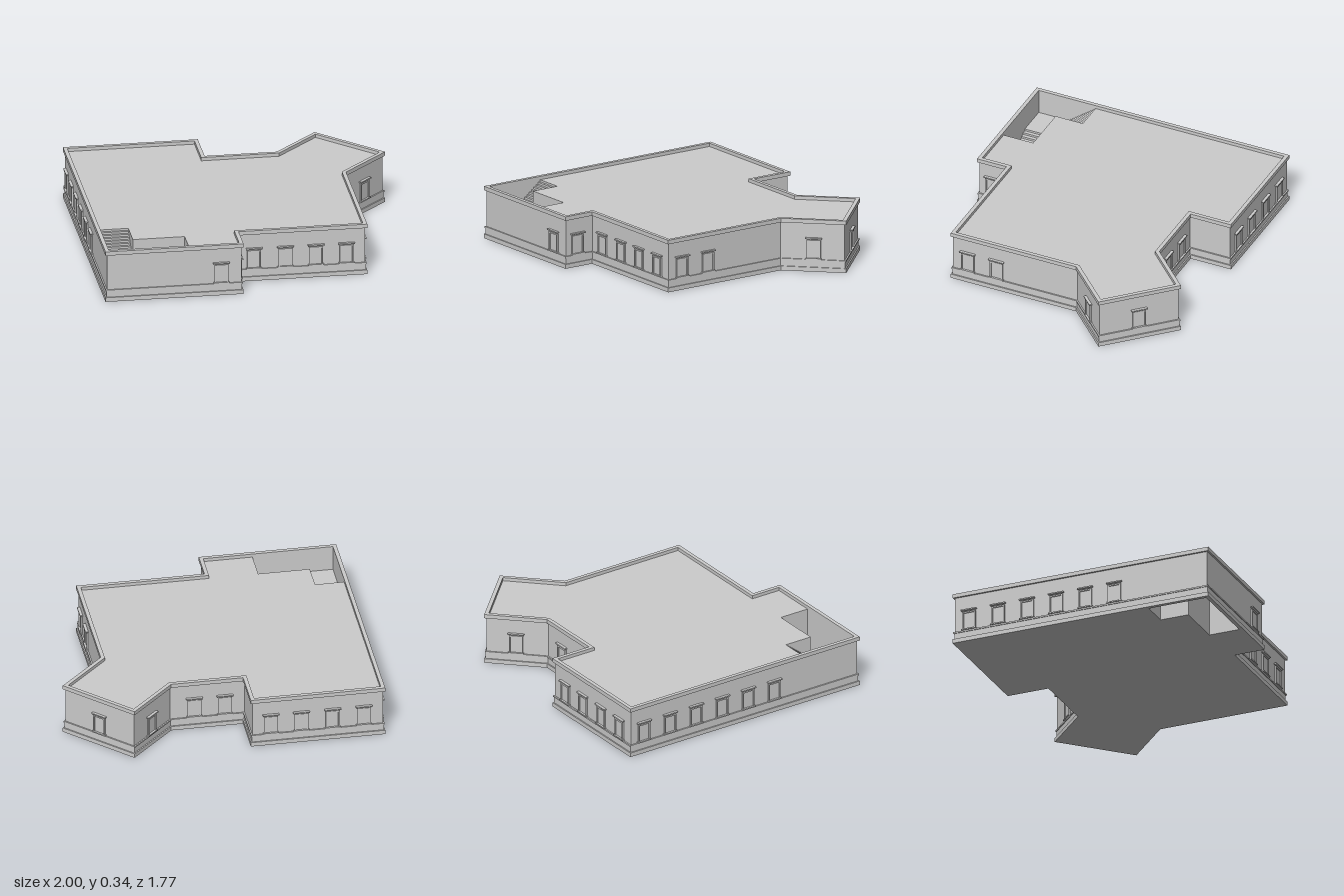
import * as THREE from 'three';

const wallMat = new THREE.MeshStandardMaterial({ color: 0xcccccc });
wallMat.name = 'light grey';

// Footprint corners (x, z), counterclockwise seen from above
const outline = [
  [-1, 0.88], [-0.12, 0.88], [-0.12, 0.675], [0.7, 0.675], [0.7, -0.2], [0.995, -0.495],
  [0.605, -0.885], [0.32, -0.6], [-0.14, -0.6], [-0.14, -0.88], [-1, -0.88],
].map(([x, z]) => new THREE.Vector2(x, -z));

// L-shaped stairwell
const stairwell = [
  [-0.975, 0.855], [-0.46, 0.855], [-0.46, 0.65], [-0.79, 0.65], [-0.79, 0.46], [-0.975, 0.46],
].map(([x, z]) => new THREE.Vector2(x, -z));

// Moves every side of a polygon inward by d
function inset(points, d) {
  const n = points.length;
  return points.map((p, i) => {
    const a = p.clone().sub(points[(i + n - 1) % n]).normalize();
    const b = points[(i + 1) % n].clone().sub(p).normalize();
    const na = new THREE.Vector2(-a.y, a.x), nb = new THREE.Vector2(-b.y, b.x);
    return na.clone().add(nb).multiplyScalar(d / (1 + na.dot(nb))).add(p);
  });
}

// Upright prism over a plan, with an optional hole
function slab(name, points, y0, y1, hole) {
  const shape = new THREE.Shape(points);
  if (hole) shape.holes.push(new THREE.Path(hole));
  const geo = new THREE.ExtrudeGeometry(shape, { depth: y1 - y0, bevelEnabled: false });
  geo.rotateX(-Math.PI / 2).translate(0, y0, 0);
  const mesh = new THREE.Mesh(geo, wallMat);
  mesh.name = name;
  return mesh;
}

function box(name, w, h, d, y, z) {
  const mesh = new THREE.Mesh(new THREE.BoxGeometry(w, h, d), wallMat);
  mesh.name = name;
  mesh.position.set(0, y, z);
  return mesh;
}

// Window facing +z with its wall at z = 0
function createWindow() {
  const win = new THREE.Group();
  win.name = 'window';
  for (const s of [-1, 1]) win.add(box('windowJamb', 0.009, 0.12, 0.01, 0.142, 0.005).translateX(s * 0.04));
  win.add(box('windowHead', 0.089, 0.009, 0.01, 0.2, 0.005));
  win.add(box('windowPane', 0.071, 0.115, 0.004, 0.14, 0.001));
  win.add(box('windowLintel', 0.105, 0.008, 0.018, 0.216, 0.009));
  win.add(box('windowSill', 0.1, 0.008, 0.016, 0.083, 0.008));
  return win;
}

// One flight descending along +z
function createFlight(name, width, steps, run, rise) {
  const flight = new THREE.Group();
  flight.name = name;
  const tread = new THREE.PlaneGeometry(width, run).rotateX(-Math.PI / 2);
  const riser = new THREE.PlaneGeometry(width, rise);
  for (let i = 0; i < steps; i++) {
    const r = new THREE.Mesh(riser, wallMat);
    r.name = 'riser';
    r.position.set(0, -(i + 0.5) * rise, i * run);
    const t = new THREE.Mesh(tread, wallMat);
    t.name = 'tread';
    t.position.set(0, -(i + 1) * rise, (i + 0.5) * run);
    flight.add(r, t);
  }
  return flight;
}

export function createModel() {
  const model = new THREE.Group();
  model.name = 'building';
  const roofY = 0.318, inn = 0.012;
  const wall = inset(outline, inn);

  // Body, mouldings and parapet
  model.add(slab('body', wall, 0, roofY, stairwell));
  model.add(slab('baseMoulding', outline, 0, 0.028, wall));
  model.add(slab('plinth', inset(outline, 0.008), 0.028, 0.068, wall));
  model.add(slab('sillLedge', inset(outline, 0.003), 0.068, 0.078, wall));
  model.add(slab('parapet', outline, 0.314, 0.34, inset(outline, 0.025)));

  // Windows: wall direction angle, then [x, z] on the moulding line
  const Q = Math.PI / 4;
  const rows = [
    [0, [[-0.26, 0.88], [-0.02, 0.675], [0.18, 0.675], [0.375, 0.675], [0.57, 0.675]]],
    [2 * Q, [[-0.12, 0.78], [0.7, 0.56], [0.7, 0.36]]],
    [Q, [[0.8475, -0.3475]]],
    [3 * Q, [[0.8, -0.69]]],
    [5 * Q, [[0.4625, -0.7425]]],
    [4 * Q, [[-0.865, -0.88], [-0.665, -0.88], [-0.465, -0.88], [-0.27, -0.88], [-0.025, -0.6], [0.17, -0.6]]],
    [6 * Q, [-0.77, -0.57, -0.37, -0.17, 0.03, 0.23].map((z) => [-1, z])],
  ];
  for (const [angle, spots] of rows) {
    for (const [x, z] of spots) {
      const win = createWindow();
      win.position.set(x - Math.sin(angle) * inn, 0, z - Math.cos(angle) * inn);
      win.rotation.y = angle;
      model.add(win);
    }
  }

  // Stair from the roof: flight, corner landing, flight
  const rise = roofY / 24;
  const upper = createFlight('upperFlight', 0.185, 11, 0.19 / 11, rise);
  upper.position.set(-0.8825, roofY, 0.46);
  const landing = new THREE.Mesh(new THREE.PlaneGeometry(0.205, 0.205).rotateX(-Math.PI / 2), wallMat);
  landing.name = 'landing';
  landing.position.set(-0.8725, roofY - 11 * rise, 0.7525);
  const lower = createFlight('lowerFlight', 0.205, 13, 0.31 / 13, rise);
  lower.position.set(-0.77, roofY - 11 * rise, 0.7525);
  lower.rotation.y = Math.PI / 2;
  model.add(upper, landing, lower);
  return model;
}
